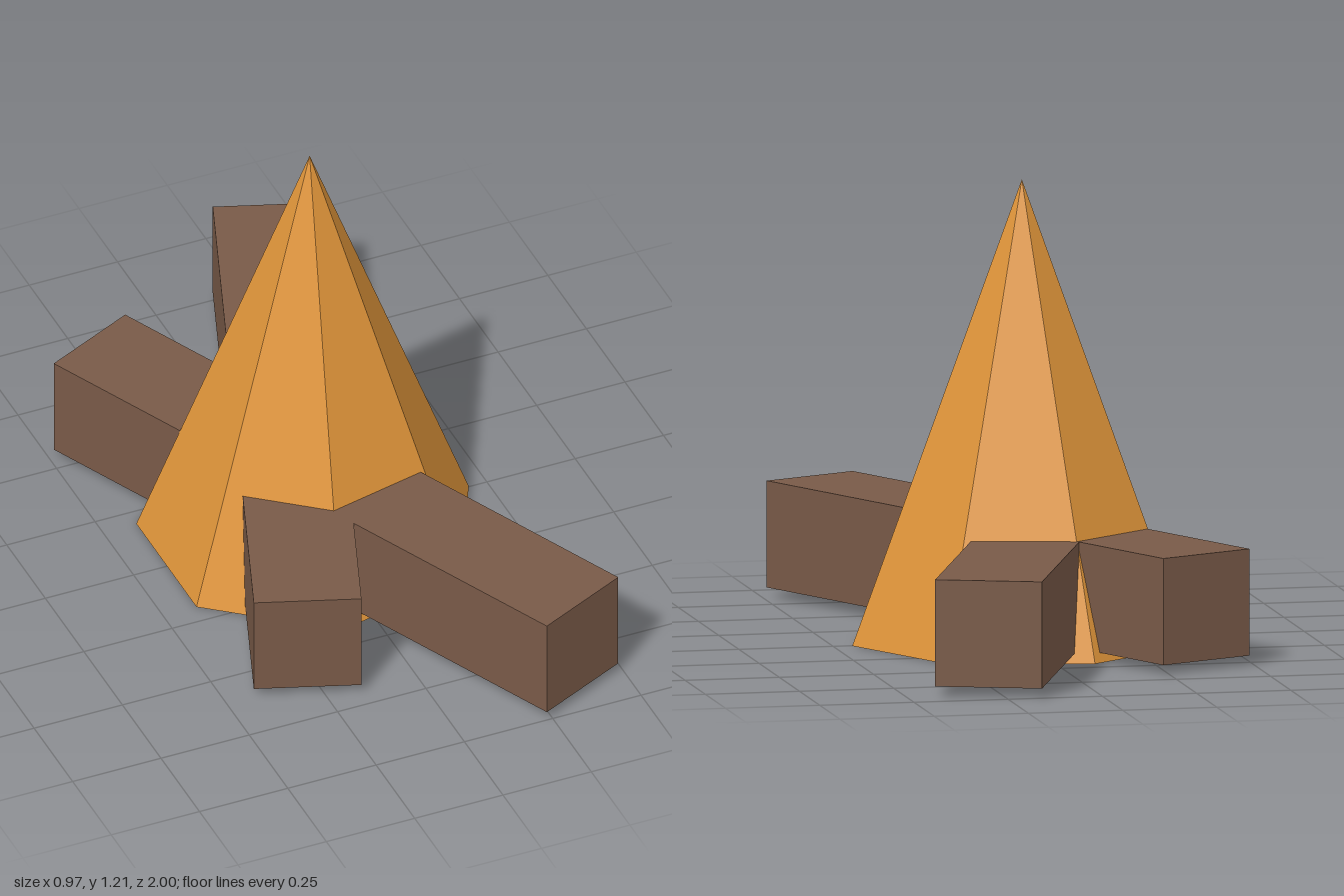
import * as THREE from 'three';

export function createModel() {
  const group = new THREE.Group();
  group.name = 'campfire';

  const flameOrange = new THREE.MeshStandardMaterial({ color: 0xdf943a, flatShading: true });
  flameOrange.name = 'flame orange';
  const barkBrown = new THREE.MeshStandardMaterial({ color: 0x795a48, flatShading: true });
  barkBrown.name = 'bark brown';

  // Seven-sided flame with one corner pointing along +x
  const flame = new THREE.Mesh(
    new THREE.ConeGeometry(0.45, 1.21, 7, 1, false, Math.PI / 2),
    flameOrange
  );
  flame.name = 'flame';
  flame.position.set(0, 0.605, -0.004);
  group.add(flame);

  // Two square logs crossing through the flame
  const logGeometry = new THREE.BoxGeometry(0.28, 0.28, 1.706);
  const addLog = (name, z, degrees) => {
    const log = new THREE.Mesh(logGeometry, barkBrown);
    log.name = name;
    log.position.set(0, 0.165, z);
    log.rotation.y = THREE.MathUtils.degToRad(degrees);
    group.add(log);
  };
  addLog('backLog', -0.15, -20);
  addLog('frontLog', 0.167, 25);

  return group;
}
